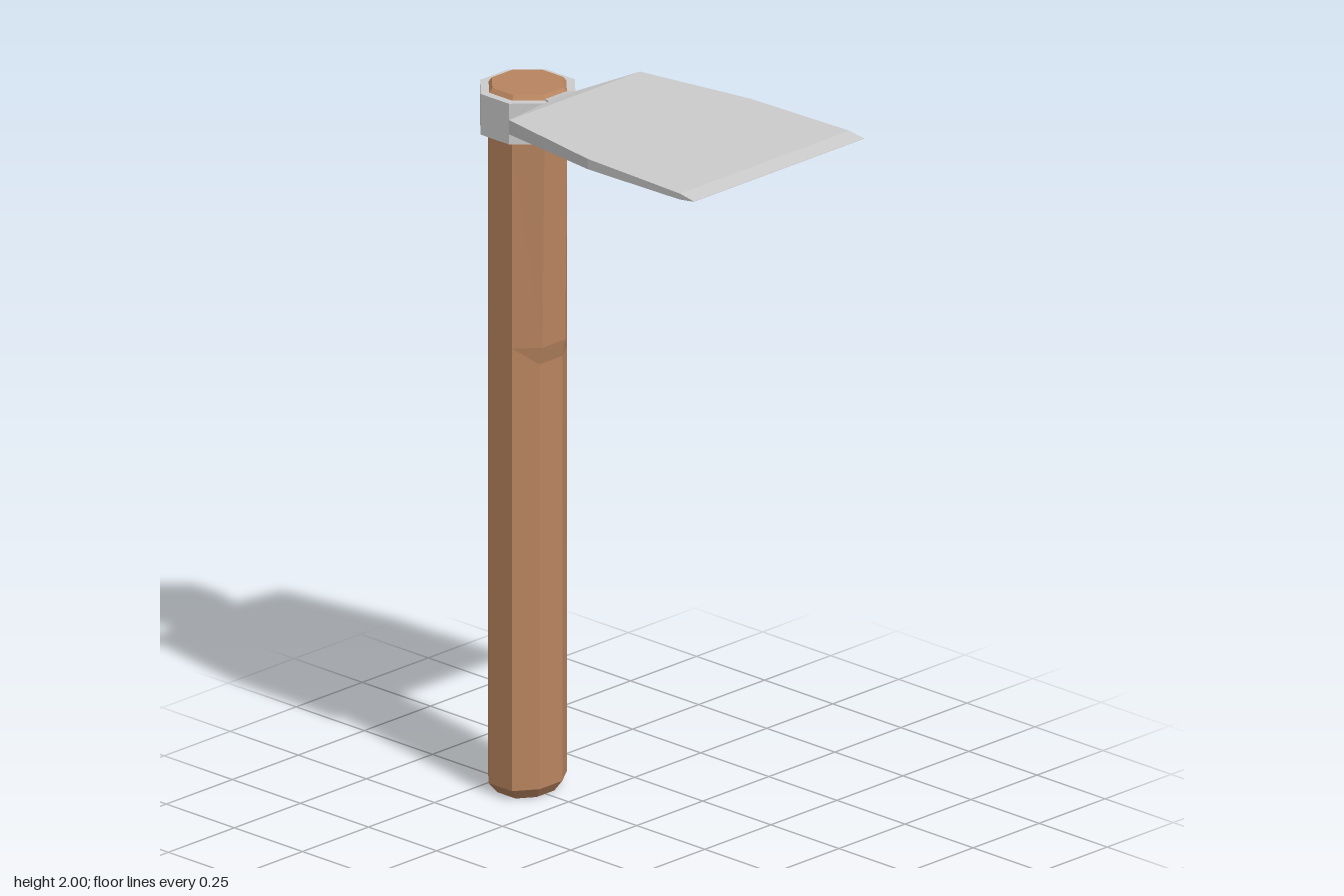
import * as THREE from 'three';

const wood = new THREE.MeshStandardMaterial({ color: 0xb8845f, flatShading: true });
const steel = new THREE.MeshStandardMaterial({ color: 0xcccccc, flatShading: true });

// Closed, capped solid skinned over rings of equal point count
function loft(rings) {
  const n = rings[0].length, last = (rings.length - 1) * n, index = [];
  for (let i = 0; i < rings.length - 1; i++) {
    for (let j = 0; j < n; j++) {
      const a = i * n + j, b = i * n + (j + 1) % n;
      index.push(a, a + n, b + n, a, b + n, b);
    }
  }
  for (let j = 1; j < n - 1; j++) {
    index.push(0, j, j + 1, last, last + j + 1, last + j);
  }
  const indexed = new THREE.BufferGeometry();
  indexed.setAttribute('position', new THREE.Float32BufferAttribute(rings.flat(2), 3));
  indexed.setIndex(index);
  const geometry = indexed.toNonIndexed();
  geometry.computeVertexNormals();
  return geometry;
}

// Octagon at height y; its +x flat can sit at its own distance
function octagon(y, half, front) {
  const c = half * Math.tan(Math.PI / 8), cx = -0.4;
  return [
    [front, -c], [front, c], [c, half], [-c, half],
    [-half, c], [-half, -c], [-c, -half], [c, -half],
  ].map(([x, z]) => [cx + x, y, z]);
}

// Rectangular cross-section of the blade at x
function slice(x, half, bottom, top) {
  return [[x, bottom, half], [x, top, half], [x, top, -half], [x, bottom, -half]];
}

function add(group, name, geometry, material) {
  const mesh = new THREE.Mesh(geometry, material);
  mesh.name = name;
  group.add(mesh);
  return mesh;
}

export function createModel() {
  const hoe = new THREE.Group();
  hoe.name = 'hoe';

  // Octagonal handle with chamfered ends and a thicker upper front
  add(hoe, 'handle', loft([
    octagon(0, 0.08, 0.065),
    octagon(0.03, 0.104, 0.085),
    octagon(1.23, 0.104, 0.085),
    octagon(1.28, 0.104, 0.096),
    octagon(1.86, 0.104, 0.103),
    octagon(1.978, 0.104, 0.104),
    octagon(1.992, 0.094, 0.094),
  ]), wood);

  // Collar around the handle top
  const radius = 0.125 / Math.cos(Math.PI / 8);
  const collar = add(hoe, 'collar',
    new THREE.CylinderGeometry(radius, radius, 0.115, 8, 1, false, Math.PI / 8), steel);
  collar.position.set(-0.4, 1.9225, 0);

  // Blade: narrow neck, flared shoulders, bevelled cutting edge
  add(hoe, 'blade', loft([
    slice(-0.298, 0.04, 1.97, 1.983),
    slice(-0.272, 0.053, 1.968, 1.988),
    slice(-0.228, 0.248, 1.96, 2),
    slice(0.12, 0.308, 1.971, 2),
    slice(0.47, 0.321, 1.983, 2),
    slice(0.522, 0.322, 1.991, 1.992),
  ]), steel);

  return hoe;
}
